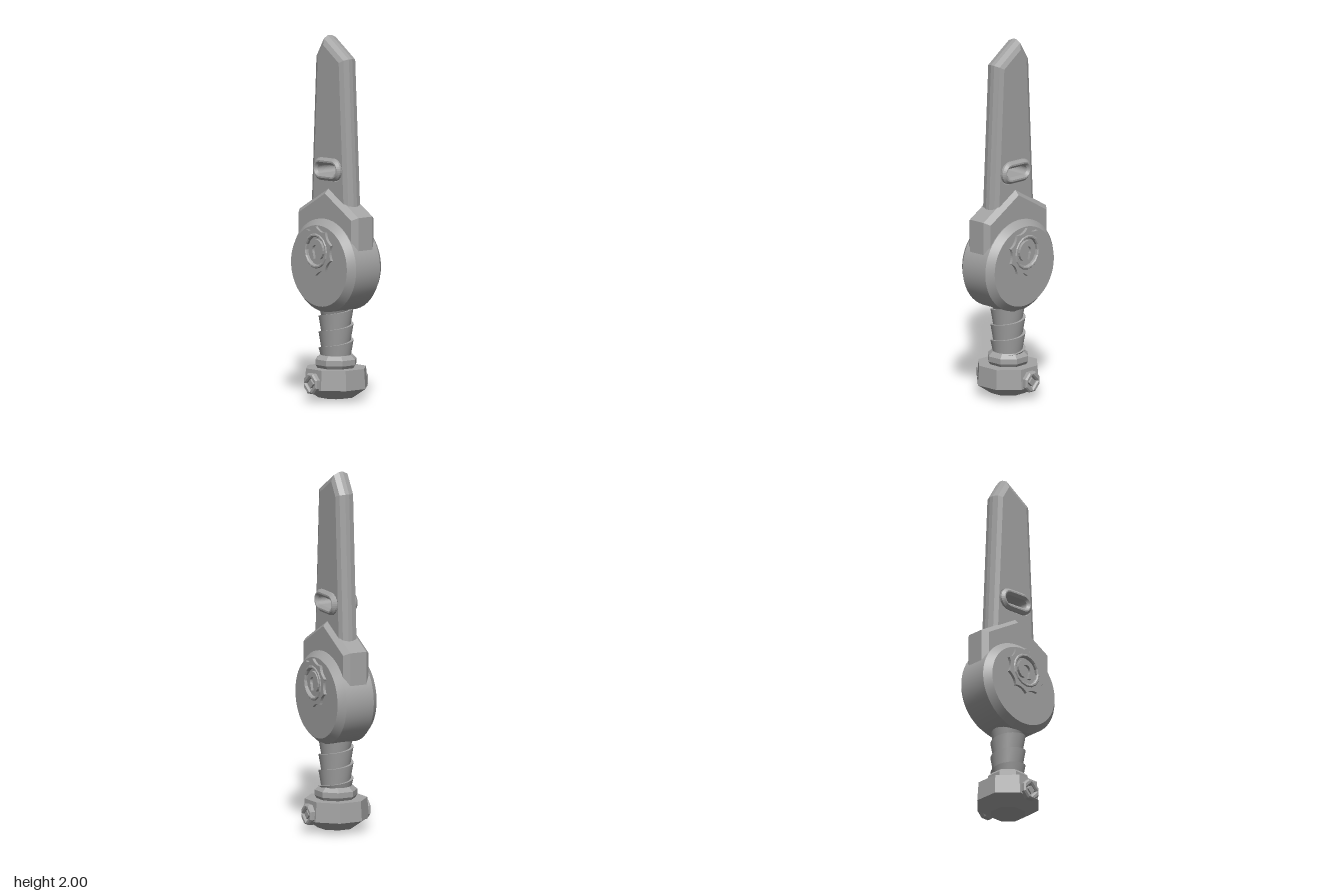
import * as THREE from 'three';
import { toCreasedNormals } from 'three/addons/utils/BufferGeometryUtils.js';

const steel = new THREE.MeshStandardMaterial({ color: 0xa3a3a3 });
steel.name = 'steel grey';
const V = (x, y) => new THREE.Vector2(x, y);

function add(parent, name, geometry, x = 0, y = 0, z = 0) {
  const mesh = new THREE.Mesh(geometry, steel);
  mesh.name = name;
  mesh.position.set(x, y, z);
  parent.add(mesh);
  return mesh;
}

// Extruded shape centred on z = 0, chamfered inward from its outline
function plate(shape, thickness, bevel = 0, inset = bevel, segments = 1) {
  const g = new THREE.ExtrudeGeometry(shape, {
    depth: thickness - 2 * bevel, bevelEnabled: bevel > 0, bevelThickness: bevel,
    bevelSize: inset, bevelOffset: -inset, bevelSegments: segments, curveSegments: 8,
  });
  return g.translate(0, 0, -(thickness / 2 - bevel));
}

// Revolved profile with sharp edges; few sides give a faceted part
function turned(points, sides, crease = 0.5) {
  return toCreasedNormals(new THREE.LatheGeometry(points.map(p => V(...p)), sides), crease);
}

function stadium(Type, halfWidth, r, cy = 0) {
  const s = new Type(), c = halfWidth - r;
  s.absarc(c, cy, r, -Math.PI / 2, Math.PI / 2, false);
  s.absarc(-c, cy, r, Math.PI / 2, Math.PI * 1.5, false);
  s.closePath();
  return s;
}

function circleHole(r) {
  return new THREE.Path().absarc(0, 0, r, 0, Math.PI * 2, true);
}

// Helical wrap: each turn flares upward, then steps back in
function wrapGeometry(y0, y1, pitch, rLow, rHigh) {
  const pos = [], idx = [], steps = 24, turns = Math.ceil((y1 - y0) / pitch) + 1;
  for (let i = 0; i <= turns * steps; i++) {
    const a = (i / steps) * Math.PI * 2, base = y0 - pitch + (i / steps) * pitch;
    for (const [dy, r] of [[0, rLow], [pitch, rHigh], [pitch, rLow]]) {
      const y = THREE.MathUtils.clamp(base + dy, y0, y1);
      pos.push(r * Math.cos(a), y, -r * Math.sin(a));
    }
    if (i === 0) continue;
    for (let k = 0; k < 2; k++) {
      const p = (i - 1) * 3 + k, q = i * 3 + k;
      idx.push(p, q, q + 1, p, q + 1, p + 1);
    }
  }
  const g = new THREE.BufferGeometry();
  g.setAttribute('position', new THREE.Float32BufferAttribute(pos, 3));
  g.setIndex(idx);
  g.computeVertexNormals();
  return toCreasedNormals(g, 0.5);
}

// Medallion with a scalloped ring and an arch in its middle
function medallion() {
  const group = new THREE.Group();
  group.name = 'medallion';
  const star = new THREE.Shape(), n = 10;
  for (let i = 0; i <= n; i++) {
    const a = ((i + 0.5) / n) * Math.PI * 2, m = a - Math.PI / n;
    const x = 0.135 * Math.cos(a), y = 0.135 * Math.sin(a);
    if (i === 0) star.moveTo(x, y);
    else star.quadraticCurveTo(0.105 * Math.cos(m), 0.105 * Math.sin(m), x, y);
  }
  star.holes.push(circleHole(0.085));
  add(group, 'scallopedRing', plate(star, 0.016), 0, 0, 0.139);
  const rim = new THREE.Shape().absarc(0, 0, 0.098, 0, Math.PI * 2, false);
  rim.holes.push(circleHole(0.078));
  add(group, 'innerRim', plate(rim, 0.036, 0.006), 0, 0, 0.134);
  const floor = new THREE.CylinderGeometry(0.08, 0.08, 0.02, 24).rotateX(Math.PI / 2);
  add(group, 'medallionFloor', floor, 0, 0, 0.122);
  const arch = new THREE.Shape();
  arch.absarc(0, 0.005, 0.06, -0.9, Math.PI + 0.9, false);
  arch.lineTo(-0.015, -0.045);
  arch.absarc(0, 0.005, 0.028, Math.PI + 0.6, -0.6, true);
  arch.lineTo(0.015, -0.045);
  arch.closePath();
  add(group, 'archInlay', plate(arch, 0.02), 0, 0, 0.137);
  return group;
}

// Eight-sided bolt with a square socket
function bolt() {
  const group = new THREE.Group();
  group.name = 'pommelBolt';
  const ring = (r, n, turn, Type) => new Type(
    Array.from({ length: n }, (_, i) => {
      const a = (i / n) * Math.PI * 2 + turn;
      return V(r * Math.cos(a), r * Math.sin(a));
    }));
  const head = ring(0.06, 8, Math.PI / 8, THREE.Shape);
  head.holes.push(ring(0.036, 4, 0, THREE.Path));
  add(group, 'boltHead', plate(head, 0.04, 0.008), 0, 0, 0.17);
  add(group, 'boltSocket', plate(ring(0.025, 4, 0, THREE.Shape), 0.03), 0, 0, 0.169);
  return group;
}

export function createModel() {
  const model = new THREE.Group();
  model.name = 'sword';

  // Blade with rounded-off edges and a slot
  const blade = new THREE.Shape([
    V(-0.168, 0.98), V(0.168, 0.98), V(0.122, 1.885), V(-0.055, 2.0), V(-0.125, 1.885)]);
  blade.holes.push(stadium(THREE.Path, 0.08, 0.026, 1.27));
  add(model, 'blade', plate(blade, 0.11, 0.043, 0.036, 2));

  // Raised rim through the slot
  const rim = stadium(THREE.Shape, 0.112, 0.062);
  rim.holes.push(stadium(THREE.Path, 0.078, 0.025));
  add(model, 'slotRim', plate(rim, 0.16, 0.014), 0, 1.272, 0).rotation.z = 0.03;

  // Pointed guard
  const guard = new THREE.Shape([
    V(-0.248, 0.72), V(0.248, 0.72), V(0.248, 1.028), V(0, 1.17), V(-0.248, 1.028)]);
  add(model, 'guard', plate(guard, 0.16, 0.03, 0.026));

  // Large chamfered disc, slightly flattened in height
  const disc = turned([[0, -0.122], [0.235, -0.122], [0.27, -0.085],
    [0.27, 0.085], [0.235, 0.122], [0, 0.122]], 48);
  disc.rotateX(Math.PI / 2).scale(1, 0.95, 1);
  add(model, 'disc', disc, 0, 0.745, 0);

  // Grip
  add(model, 'grip', new THREE.CylinderGeometry(0.08, 0.08, 0.3, 24), 0, 0.37, 0);
  add(model, 'gripWrap', wrapGeometry(0.23, 0.52, 0.088, 0.081, 0.096));

  // Collar and pommel, eight-sided with flats facing front and sides
  const collar = turned([[0, 0.17], [0.1, 0.17], [0.117, 0.195], [0.117, 0.225],
    [0.092, 0.248], [0, 0.248]], 8, 0.1);
  add(model, 'collar', collar.rotateY(Math.PI / 8));
  const pommel = turned([[0, 0], [0.1, 0.015], [0.18, 0.068], [0.172, 0.178], [0, 0.178]], 8, 0.05);
  add(model, 'pommel', pommel.rotateY(Math.PI / 8));

  // Front and back ornaments
  for (const turn of [0, Math.PI]) {
    const m = medallion(), b = bolt();
    m.position.y = 0.83;
    b.position.y = 0.102;
    m.rotation.y = b.rotation.y = turn;
    model.add(m, b);
  }
  return model;
}
